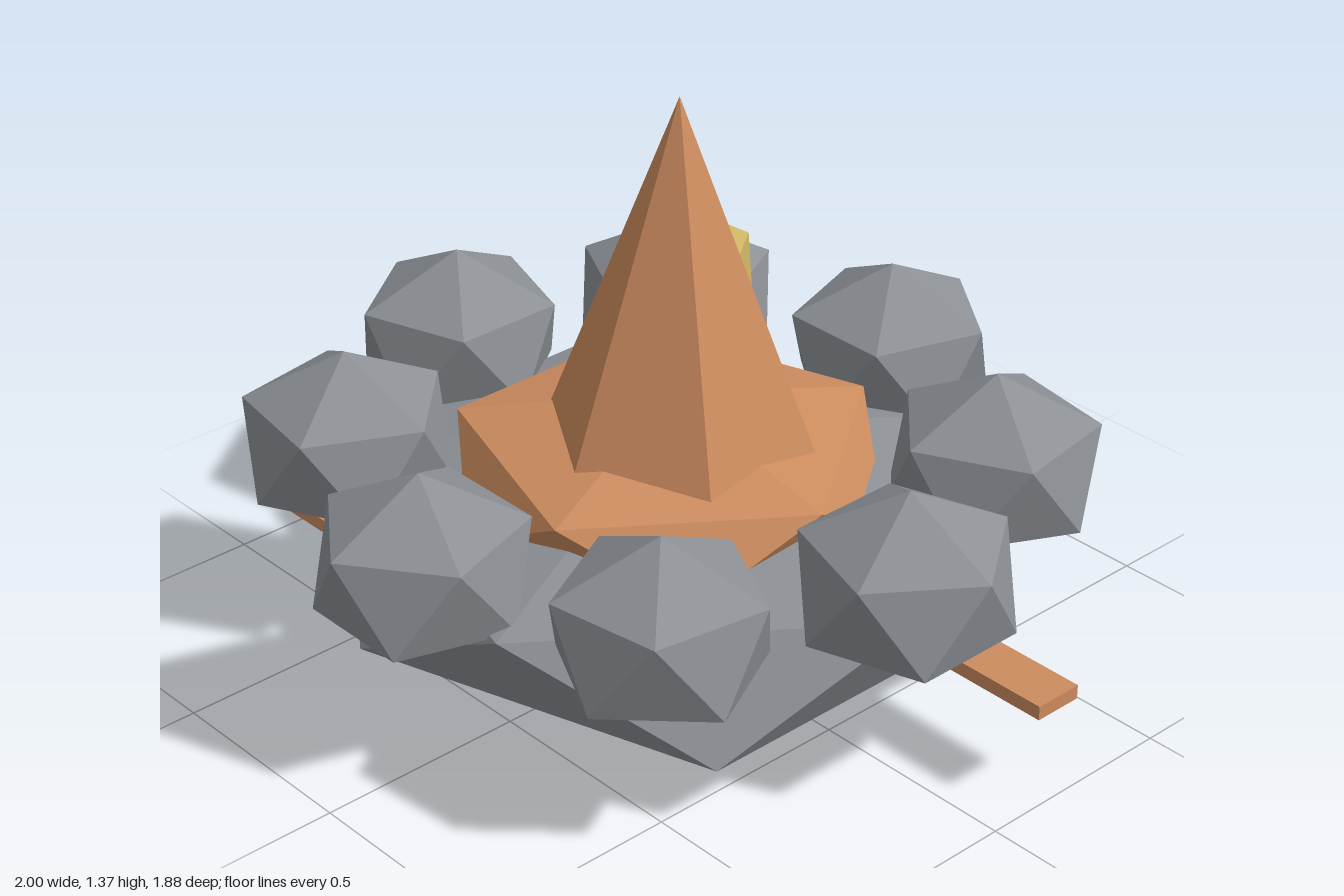
import * as THREE from 'three';

function mat(name, color) {
  const m = new THREE.MeshStandardMaterial({ color, flatShading: true });
  m.name = name;
  return m;
}

// Icosahedron standing on a point, with one upper-ring corner facing +x
function rockGeometry(rx, ry, rz) {
  const g = new THREE.IcosahedronGeometry(1, 0);
  g.rotateZ(-Math.atan(2 / (1 + Math.sqrt(5))));
  g.scale(rx, ry, rz);
  g.computeVertexNormals();
  return g;
}

export function createModel() {
  const model = new THREE.Group();
  model.name = 'rockIsland';
  const stone = mat('stone grey', 0x8c9095);
  const clay = mat('clay orange', 0xcd8c5f);
  const gold = mat('dull gold', 0xc9b263);
  const CX = -0.025;

  const add = (name, geometry, material, x, y, z, parent = model) => {
    const mesh = new THREE.Mesh(geometry, material);
    mesh.name = name;
    mesh.position.set(x, y, z);
    parent.add(mesh);
    return mesh;
  };

  // Flattened foundation rock and the mound on top of it
  add('foundationRock', rockGeometry(0.867, 0.28, 0.829), stone, CX, 0.28, 0);
  add('mound', rockGeometry(0.546, 0.18, 0.546), clay, CX, 0.46, 0);

  // Six-sided spire, sunk into the mound
  const top = 1.368, bottom = 0.5, height = top - bottom;
  add('spire', new THREE.ConeGeometry(0.385 * height, height, 6), clay, 0.01, (top + bottom) / 2, 0);

  // Ring of eight boulders, each turned outward
  const ring = new THREE.Group();
  ring.name = 'boulderRing';
  model.add(ring);
  const boulder = rockGeometry(0.263, 0.221, 0.263);
  for (let i = 0; i < 8; i++) {
    const a = (i / 8) * Math.PI * 2;
    const b = add('boulder', boulder, stone, CX + 0.742 * Math.cos(a), 0.493, 0.706 * Math.sin(a), ring);
    b.rotation.y = -a;
  }

  // Gold nugget behind the spire
  add('nugget', rockGeometry(0.159, 0.16, 0.159), gold, -0.2, 0.79, -0.23);

  // Planks sticking out on both sides
  add('leftPlank', new THREE.BoxGeometry(0.45, 0.034, 0.12), clay, 0.775, 0.246, -0.178);
  add('rightPlank', new THREE.BoxGeometry(0.35, 0.034, 0.1), clay, -0.695, 0.246, 0.49);

  return model;
}
